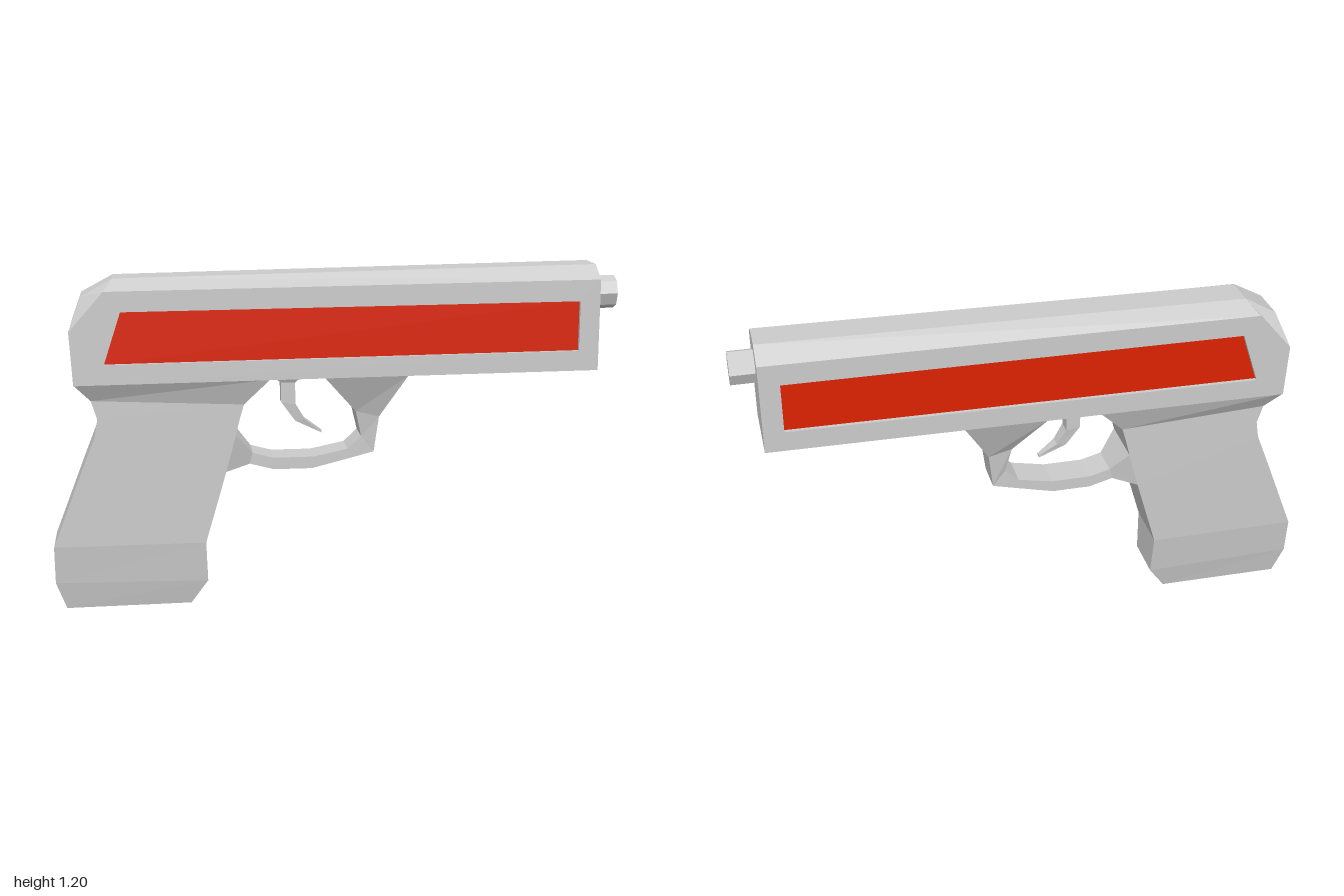
import * as THREE from 'three';

const grey = new THREE.MeshStandardMaterial({ color: 0xcccccc, flatShading: true, side: THREE.DoubleSide });
const red = new THREE.MeshStandardMaterial({ color: 0xdd2200, flatShading: true, side: THREE.DoubleSide });

// Skins a row of rings (each turning right-handed about the travel direction).
// caps: quads of ring indices closing both ends; skip: ring edges left open.
function loft(rings, caps = [], skip = []) {
  const pos = [];
  const quad = (a, b, c, d) => [a, b, c, a, c, d].forEach((p) => pos.push(...p));
  const n = rings[0].length;
  for (let r = 0; r + 1 < rings.length; r++) {
    const A = rings[r], B = rings[r + 1];
    for (let i = 0; i < n; i++) {
      const j = (i + 1) % n;
      if (!skip.includes(i)) quad(A[i], A[j], B[j], B[i]);
    }
  }
  const first = rings[0], last = rings[rings.length - 1];
  for (const c of caps) {
    quad(...[...c].reverse().map((i) => first[i]));
    quad(...c.map((i) => last[i]));
  }
  const g = new THREE.BufferGeometry();
  g.setAttribute('position', new THREE.Float32BufferAttribute(pos, 3));
  g.computeVertexNormals();
  return g;
}

// Rectangular bar; each station is [px, py, qx, qy, halfWidth]
function bar(stations) {
  const rings = stations.map(([px, py, qx, qy, w]) => [[qx, qy, -w], [qx, qy, w], [px, py, w], [px, py, -w]]);
  return loft(rings, [[0, 1, 2, 3]]);
}

function add(parent, name, geometry, material = grey) {
  const mesh = new THREE.Mesh(geometry, material);
  mesh.name = name;
  parent.add(mesh);
  return mesh;
}

const polygon = (pts) => new THREE.Shape(pts.map(([x, y]) => new THREE.Vector2(x, y)));

export function createModel() {
  const model = new THREE.Group();
  model.name = 'pistol';

  // Slide: bevelled long body, sides left open for the panelled walls
  const W = 0.133, depth = 0.015;
  const bottom = [[-0.91, 0.815], [-0.8, 0.816], [0.915, 0.83]];
  const shoulder = [[-0.92, 1.0], [-0.8, 1.135], [0.915, 1.15]];
  const ridge = [[-0.88, 1.11, 0.07], [-0.77, 1.17, 0.06], [0.915, 1.195, 0.06]];
  const slideRings = ridge.map(([x, y, w], i) => [
    [x, y, -w], [x, y, w], [...shoulder[i], W], [...bottom[i], W], [...bottom[i], -W], [...shoulder[i], -W],
  ]);
  add(model, 'slide', loft(slideRings, [[0, 1, 2, 5], [2, 3, 4, 5]], [2, 4]));

  // Side walls, each with a shallow recess holding a coloured panel
  const panel = [[-0.805, 0.885], [0.845, 0.9], [0.845, 1.075], [-0.745, 1.065]];
  for (const s of [1, -1]) {
    const side = new THREE.Group();
    side.name = s > 0 ? 'frontSide' : 'backSide';
    side.scale.z = s;
    const wall = polygon([bottom[0], bottom[2], shoulder[2], shoulder[1], shoulder[0]]);
    wall.holes.push(polygon(panel));
    add(side, 'sideWall', new THREE.ShapeGeometry(wall)).position.z = W;
    add(side, 'recessEdge', loft([W, W - depth].map((z) => panel.map((p) => [...p, z]))));
    add(side, 'sidePanel', new THREE.ShapeGeometry(polygon(panel)), red).position.z = W - depth;
    model.add(side);
  }

  // Barrel: octagonal stub at the muzzle
  const barrel = add(model, 'barrel', new THREE.CylinderGeometry(0.059, 0.059, 0.12, 8));
  barrel.rotation.z = -Math.PI / 2;
  barrel.position.set(0.94, 1.089, 0);

  // Grip: from the slide down to the tapered foot (back edge, front edge)
  add(model, 'grip', bar([
    [-0.91, 0.817, -0.24, 0.823, 0.133],
    [-0.855, 0.755, -0.33, 0.73, 0.098],
    [-0.835, 0.69, -0.345, 0.68, 0.098],
    [-0.845, 0.63, -0.36, 0.62, 0.098],
    [-0.897, 0.5, -0.395, 0.49, 0.098],
    [-1.0, 0.235, -0.47, 0.235, 0.098],
    [-1.0, 0.1, -0.465, 0.09, 0.083],
    [-0.965, 0.0, -0.525, 0.003, 0.065],
  ]));

  // Trigger guard: from the grip round to the slide (outer edge, inner edge)
  add(model, 'triggerGuard', bar([
    [-0.395, 0.49, -0.36, 0.62, 0.098],
    [-0.31, 0.508, -0.3, 0.547, 0.06],
    [-0.225, 0.485, -0.225, 0.527, 0.06],
    [-0.09, 0.485, -0.085, 0.527, 0.06],
    [0.04, 0.517, 0.037, 0.552, 0.06],
    [0.13, 0.54, 0.085, 0.597, 0.06],
    [0.147, 0.67, 0.064, 0.69, 0.073],
    [0.24, 0.825, -0.05, 0.823, 0.133],
  ]));

  // Trigger: curved hook tapering to a tip
  add(model, 'trigger', bar([
    [-0.24, 0.823, -0.11, 0.823, 0.045],
    [-0.195, 0.79, -0.145, 0.79, 0.028],
    [-0.195, 0.72, -0.145, 0.71, 0.028],
    [-0.145, 0.65, -0.112, 0.655, 0.022],
    [-0.05, 0.602, -0.05, 0.61, 0.01],
  ]));

  return model;
}
